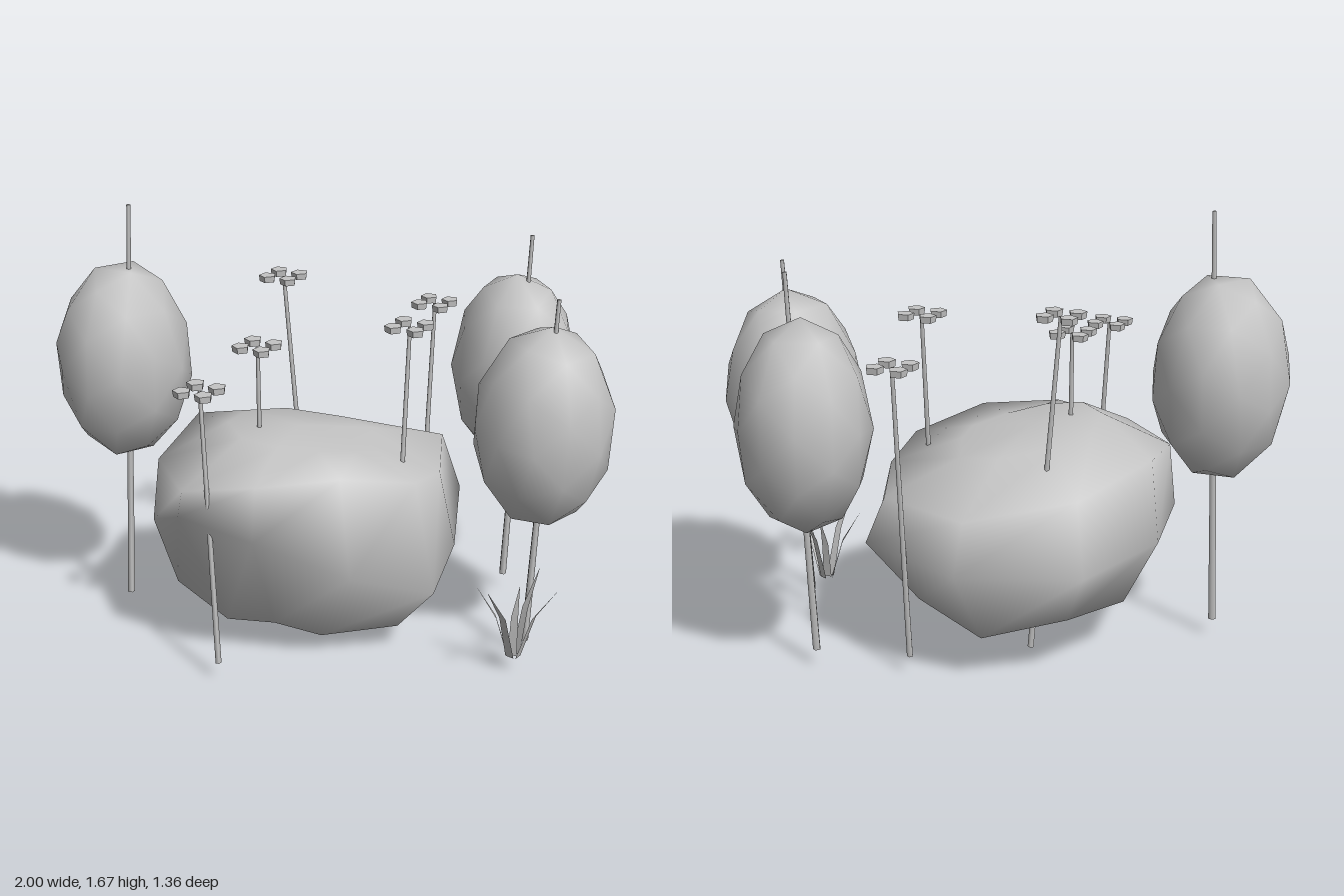
import * as THREE from 'three';
import { mergeVertices } from 'three/addons/utils/BufferGeometryUtils.js';

const clay = new THREE.MeshStandardMaterial({ color: 0xc4c4c4, side: THREE.DoubleSide });
clay.name = 'light grey';

function add(parent, name, geometry) {
  const mesh = new THREE.Mesh(geometry, clay);
  mesh.name = name;
  parent.add(mesh);
  return mesh;
}

function group(parent, name) {
  const g = new THREE.Group();
  g.name = name;
  parent.add(g);
  return g;
}

// Tapered rod between two points
function rod(parent, name, from, to, r0, r1) {
  const a = new THREE.Vector3(...from), b = new THREE.Vector3(...to);
  const dir = b.clone().sub(a);
  const geo = new THREE.CylinderGeometry(r1, r0, dir.length(), 5);
  const mesh = add(parent, name, geo);
  mesh.position.copy(a).add(b).multiplyScalar(0.5);
  mesh.quaternion.setFromUnitVectors(new THREE.Vector3(0, 1, 0), dir.normalize());
}

// Boulder: uneven cross-sections lofted from the foot to the cap
function boulderGeometry() {
  const lower = [
    [-0.1, 0.24, -0.55], [0.2, 0.18, -0.46], [0.34, 0.24, -0.18], [0.26, 0.14, 0], [0.16, 0.07, 0.18],
    [-0.15, 0.08, 0.18], [-0.3, 0.09, 0.05], [-0.46, 0.07, -0.07], [-0.64, 0.24, -0.12], [-0.4, 0.2, -0.4],
  ];
  const middle = [
    [-0.1, 0.45, -0.68], [0.32, 0.45, -0.5], [0.53, 0.48, -0.14], [0.38, 0.4, 0.2], [0.22, 0.32, 0.41],
    [-0.12, 0.45, 0.45], [-0.46, 0.61, 0.37], [-0.68, 0.64, 0.14], [-0.71, 0.48, -0.2], [-0.48, 0.47, -0.51],
  ];
  const upper = [
    [-0.12, 0.7, -0.57], [0.27, 0.635, -0.45], [0.48, 0.68, -0.22], [0.34, 0.68, 0.13], [0.18, 0.73, 0.3],
    [-0.12, 0.8, 0.34], [-0.43, 0.79, 0.3], [-0.66, 0.735, 0.13], [-0.68, 0.73, -0.2], [-0.46, 0.785, -0.48],
  ];
  const cx = -0.15, cz = -0.1;
  const cap = upper.map(([x, , z]) => {
    const dx = (x - cx) * 0.5;
    return [cx + dx, 0.825 - 0.17 * dx, cz + (z - cz) * 0.5];
  });
  const rings = [lower, middle, upper, cap], n = lower.length, last = rings.length - 1;
  const pos = [[-0.12, 0, -0.09], ...rings.flat(), [cx, 0.845, cz]].flat();
  const top = 1 + rings.length * n;
  const at = (i, j) => 1 + i * n + (j % n);
  const index = [];
  for (let j = 0; j < n; j++) {
    index.push(0, at(0, j), at(0, j + 1));
    for (let i = 0; i < last; i++) {
      index.push(at(i, j), at(i + 1, j), at(i, j + 1));
      index.push(at(i, j + 1), at(i + 1, j), at(i + 1, j + 1));
    }
    index.push(at(last, j), top, at(last, j + 1));
  }
  const geo = new THREE.BufferGeometry();
  geo.setAttribute('position', new THREE.Float32BufferAttribute(pos, 3));
  geo.setIndex(index);
  geo.computeVertexNormals();
  return geo;
}

// Smooth low-poly crown: a turned icosphere fitted to the given half sizes
function crownGeometry(radii, tilt, turn) {
  let geo = new THREE.IcosahedronGeometry(1, 1);
  geo.deleteAttribute('normal');
  geo.deleteAttribute('uv');
  geo = mergeVertices(geo, 1e-4);
  geo.rotateX(tilt).rotateY(turn).center();
  const half = geo.boundingBox.getSize(new THREE.Vector3()).multiplyScalar(0.5);
  geo.scale(radii[0] / half.x, radii[1] / half.y, radii[2] / half.z);
  geo.computeVertexNormals();
  return geo;
}

// Flat pointed blade, bent once at the middle
function bladeGeometry(base, mid, tip) {
  const b = new THREE.Vector3(...base), m = new THREE.Vector3(...mid), t = new THREE.Vector3(...tip);
  const side = new THREE.Vector3(t.z - b.z, 0, b.x - t.x).normalize();
  const pts = [
    b.clone().addScaledVector(side, -0.018), b.clone().addScaledVector(side, 0.018),
    m.clone().addScaledVector(side, -0.014), m.clone().addScaledVector(side, 0.014), t,
  ];
  const geo = new THREE.BufferGeometry().setFromPoints(pts);
  geo.setIndex([0, 1, 2, 2, 1, 3, 2, 3, 4]);
  geo.computeVertexNormals();
  return geo;
}

export function createModel() {
  const model = new THREE.Group();
  model.name = 'boulderGarden';

  add(model, 'boulder', boulderGeometry());

  // Trees: crown centre, half sizes, tilt and turn, then trunk foot and tip
  const trees = [
    [[-0.75, 1.058, -0.44], [0.25, 0.367, 0.24], 0.365, 0.3, [-0.78, 0.07, -0.41], [-0.71, 1.67, -0.41]],
    [[0.643, 0.932, 0.385], [0.265, 0.392, 0.248], 0.1, 0.5, [0.59, 0.07, 0.425], [0.66, 1.43, 0.425]],
    [[0.752, 0.96, -0.158], [0.243, 0.392, 0.256], 0.1, -0.4, [0.72, 0.07, -0.11], [0.785, 1.51, -0.11]],
  ];
  for (const [center, radii, tilt, turn, foot, tip] of trees) {
    const tree = group(model, 'tree');
    rod(tree, 'trunk', foot, tip, 0.015, 0.008);
    add(tree, 'crown', crownGeometry(radii, tilt, turn)).position.set(...center);
  }

  // Flowers: stem foot and head centre, four five-sided petals each
  const flowers = [
    [[-0.03, 0.07, -0.38], [-0.12, 1.34, -0.41]],
    [[-0.31, 0.07, -0.09], [-0.31, 1.18, -0.09]],
    [[0.16, 0.18, 0.145], [0.225, 1.26, 0.083]],
    [[-0.57, 0.07, 0.245], [-0.587, 1.13, 0.167]],
    [[0.415, 0.07, -0.29], [0.478, 1.197, -0.335]],
  ];
  const petalGeo = new THREE.CylinderGeometry(0.034, 0.031, 0.024, 5).toNonIndexed();
  petalGeo.rotateY(Math.PI);
  petalGeo.computeVertexNormals();
  for (const [foot, head] of flowers) {
    const flower = group(model, 'flower');
    rod(flower, 'stem', foot, head, 0.012, 0.008);
    for (let k = 0; k < 4; k++) {
      const a = (k * Math.PI) / 2;
      add(flower, 'petal', petalGeo).position.set(
        head[0] + 0.064 * Math.cos(a), head[1], head[2] + 0.064 * Math.sin(a));
    }
  }

  // Grass tuft: base, bend and tip of each blade
  const grass = group(model, 'grassTuft');
  const blades = [
    [[0.485, 0.07, 0.53], [0.435, 0.26, 0.565], [0.345, 0.415, 0.625]],
    [[0.515, 0.07, 0.54], [0.55, 0.26, 0.59], [0.608, 0.415, 0.675]],
    [[0.52, 0.07, 0.51], [0.555, 0.25, 0.495], [0.62, 0.4, 0.47]],
    [[0.485, 0.07, 0.505], [0.44, 0.23, 0.49], [0.365, 0.36, 0.465]],
    [[0.5, 0.07, 0.52], [0.51, 0.22, 0.505], [0.535, 0.34, 0.485]],
  ];
  for (const blade of blades) add(grass, 'blade', bladeGeometry(...blade));

  return model;
}
